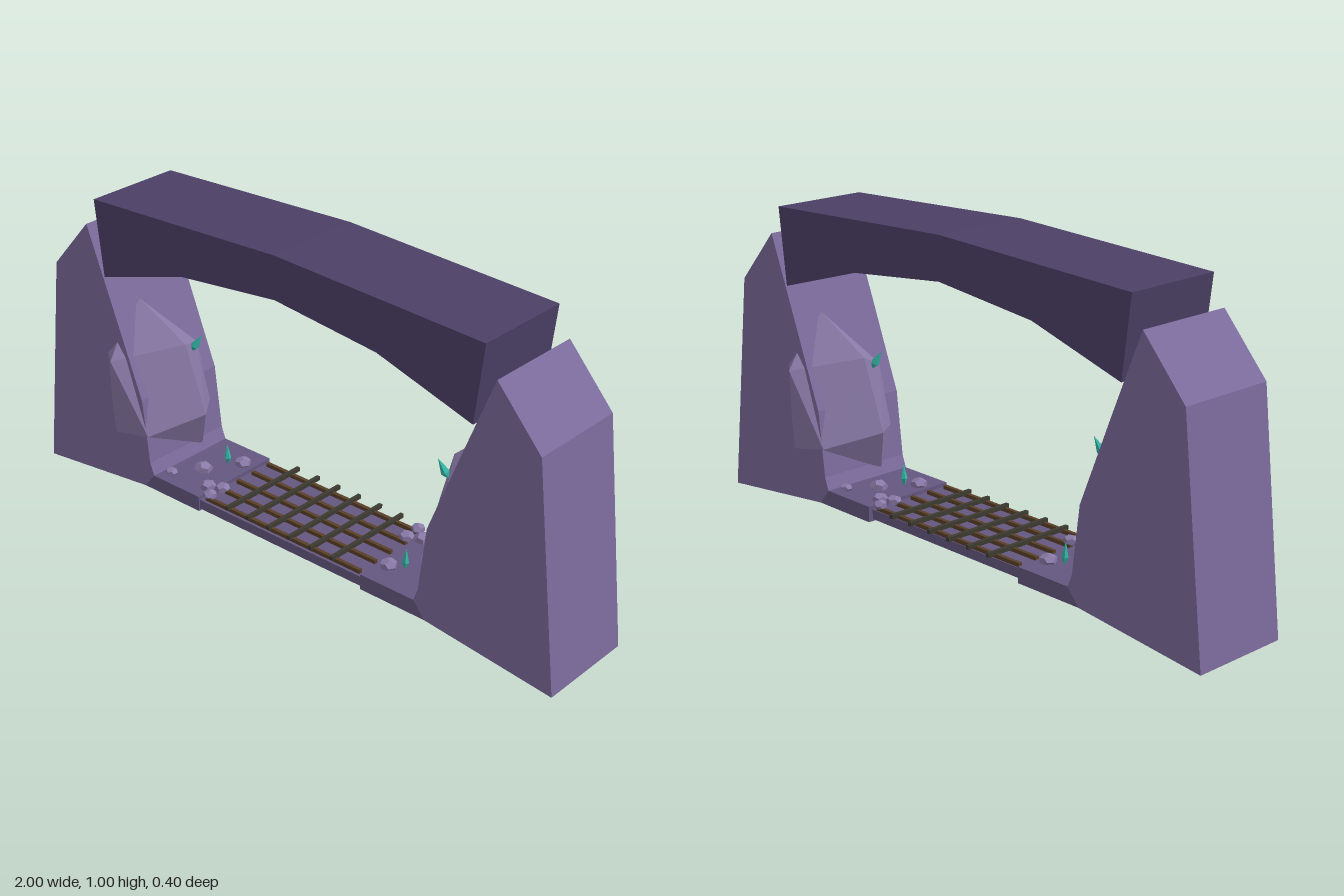
import * as THREE from 'three';
import { ConvexGeometry } from 'three/addons/geometries/ConvexGeometry.js';

const BACK = -0.165, FRONT = 0.155;
const material = (color) => new THREE.MeshStandardMaterial({ color, flatShading: true });
const stone = material(0x7b6b9c);
const darkStone = material(0x4c4066);
const floorStone = material(0x65577f);
const paleStone = material(0x8a7aa8);
const rust = material(0x5a4028);
const iron = material(0x3c3a30);
const teal = material(0x35b8a8);

function add(parent, name, geometry, mat, position = [0, 0, 0]) {
  const mesh = new THREE.Mesh(geometry, mat);
  mesh.name = name;
  mesh.position.set(...position);
  parent.add(mesh);
  return mesh;
}

// Outline in x and y, pushed through the full depth of the arch
function slab(points) {
  const shape = new THREE.Shape(points.map(([x, y]) => new THREE.Vector2(x, y)));
  const geometry = new THREE.ExtrudeGeometry(shape, { depth: FRONT - BACK, bevelEnabled: false });
  return geometry.translate(0, 0, BACK);
}

function box(parent, name, mat, x0, x1, y0, y1, z0, z1) {
  add(parent, name, new THREE.BoxGeometry(x1 - x0, y1 - y0, z1 - z0), mat,
    [(x0 + x1) / 2, (y0 + y1) / 2, (z0 + z1) / 2]);
}

// Pointed crystal: short lower taper and long upper taper
function crystal(parent, position, radius, height, tiltX, tiltZ) {
  const profile = [[0, 0], [radius, height * 0.35], [0, height]];
  const geometry = new THREE.LatheGeometry(profile.map(([r, y]) => new THREE.Vector2(r, y)), 5);
  const mesh = add(parent, 'crystal', geometry, teal, position);
  mesh.rotation.set(tiltX, 0, tiltZ);
}

// One side of the arch: pillar, ledge, boulder, pebbles and crystals
function createSide() {
  const side = new THREE.Group();
  add(side, 'pillar', slab([
    [-1, 0], [-0.56, 0.05], [-0.52, 0.1], [-0.535, 0.14], [-0.56, 0.35],
    [-0.67, 0.63], [-0.77, 0.88], [-0.92, 0.71],
  ]), stone);
  box(side, 'ledge', floorStone, -0.56, -0.325, 0.05, 0.1, BACK, FRONT);

  const boulder = [
    [-0.71, 0.47, 0.15], [-0.66, 0.525, 0.15], [-0.65, 0.47, 0.195], [-0.7, 0.27, 0.15],
    [-0.68, 0.2, 0.158], [-0.54, 0.23, 0.155], [-0.665, 0.63, 0.05], [-0.52, 0.5, 0.0],
    [-0.47, 0.26, -0.03], [-0.53, 0.12, -0.07], [-0.58, 0.45, -0.11], [-0.55, 0.25, -0.13],
  ];
  add(side, 'boulder', new ConvexGeometry(boulder.map((p) => new THREE.Vector3(...p))), paleStone);

  // x, z, radius
  const pebbles = [
    [-0.487, 0.11, 0.02], [-0.43, 0.026, 0.03], [-0.36, -0.08, 0.027],
    [-0.343, 0.096, 0.026], [-0.3, 0.13, 0.022], [-0.3, 0.075, 0.024],
  ];
  pebbles.forEach(([x, z, r], i) => {
    const pebble = add(side, 'pebble', new THREE.DodecahedronGeometry(r), paleStone, [x, 0.108, z]);
    pebble.scale.y = 0.7;
    pebble.rotation.y = i * 1.3;
  });

  crystal(side, [-0.4, 0.095, -0.054], 0.011, 0.075, 0, 0.05);
  crystal(side, [-0.545, 0.45, -0.05], 0.014, 0.07, -0.2, -0.5);
  return side;
}

export function createModel() {
  const model = new THREE.Group();
  model.name = 'stoneArch';

  // The second side is the first turned half round
  const rightSide = createSide();
  rightSide.name = 'rightSide';
  const leftSide = createSide();
  leftSide.name = 'leftSide';
  leftSide.rotation.y = Math.PI;
  leftSide.position.z = BACK + FRONT;
  model.add(rightSide, leftSide);

  // Lintel
  add(model, 'lintel', slab([
    [-0.7, 0.725], [-0.37, 0.825], [0, 0.865], [0.37, 0.825], [0.7, 0.725],
    [0.73, 0.97], [0, 1], [-0.73, 0.97],
  ]), darkStone);

  // Sunken floor with a grating of long rails and cross bars
  box(model, 'floor', floorStone, -0.33, 0.33, 0.057, 0.088, -0.15, FRONT - 0.005);
  const grating = new THREE.Group();
  grating.name = 'grating';
  model.add(grating);
  for (let i = 0; i < 5; i++) {
    const z = 0.135 - i * 0.069;
    box(grating, 'rail', rust, -0.31, 0.31, 0.086, 0.1, z - 0.006, z + 0.006);
  }
  for (let i = 0; i < 6; i++) {
    const x = (i - 2.5) * 0.084;
    box(grating, 'crossBar', iron, x - 0.006, x + 0.006, 0.096, 0.109, -0.175, 0.15);
  }
  return model;
}
